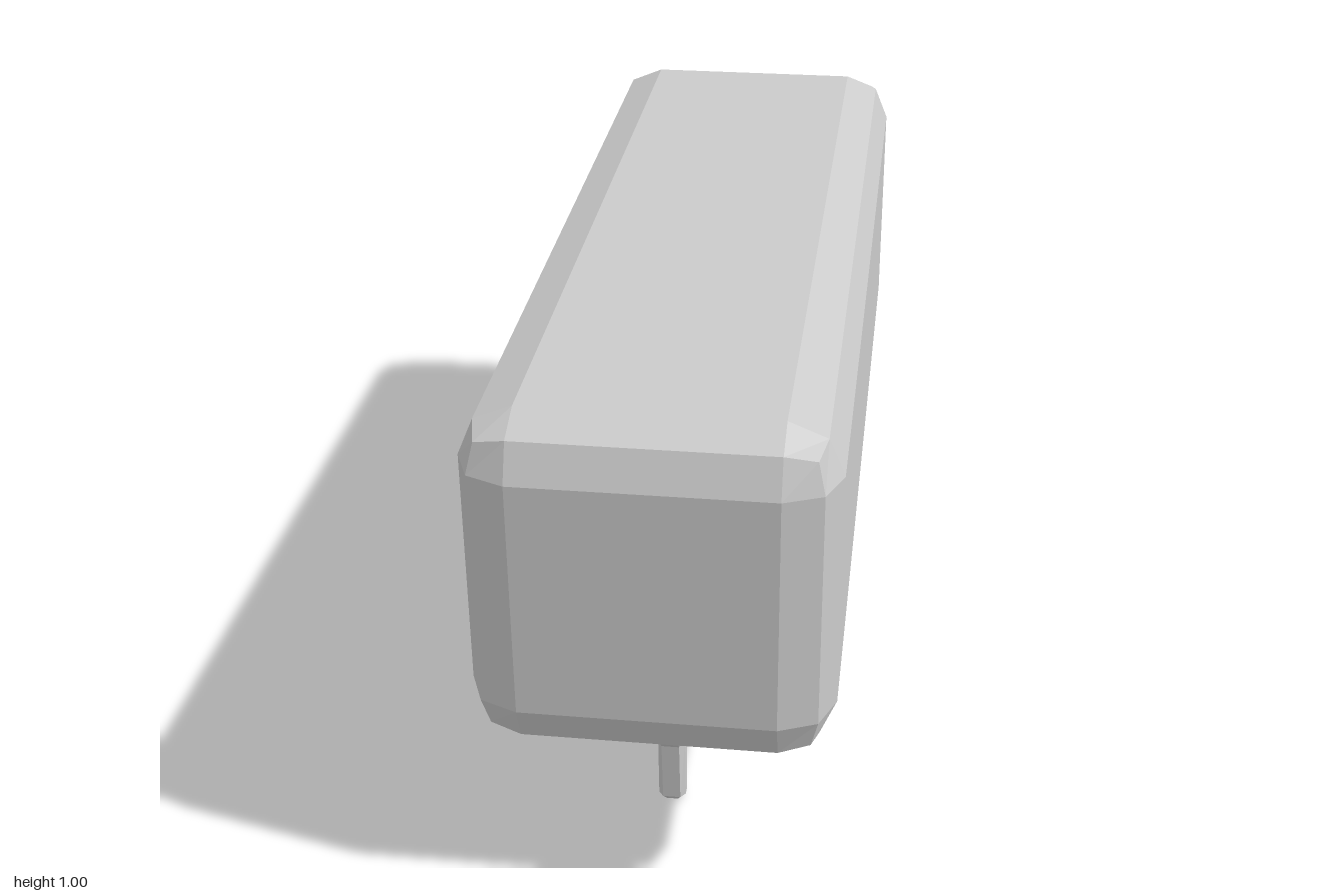
import * as THREE from 'three';

const material = new THREE.MeshStandardMaterial({ color: 0xcccccc, flatShading: true });

function addMesh(parent, geometry, name) {
  const flat = geometry.index ? geometry.toNonIndexed() : geometry;
  flat.computeVertexNormals();
  const mesh = new THREE.Mesh(flat, material);
  mesh.name = name;
  parent.add(mesh);
}

// Box whose edges and corners are rounded with two facets
function facetedBox(hx, hy, hz, r) {
  const geo = new THREE.BoxGeometry(2, 2, 2, 3, 3, 3);
  const pos = geo.attributes.position;
  const p = new THREE.Vector3();
  for (let i = 0; i < pos.count; i++) {
    p.fromBufferAttribute(pos, i);
    const core = new THREE.Vector3(
      Math.sign(p.x) * (hx - r), Math.sign(p.y) * (hy - r), Math.sign(p.z) * (hz - r));
    const out = new THREE.Vector3(...p.toArray().map((c) => (Math.abs(c) > 0.9 ? Math.sign(c) : 0)));
    core.addScaledVector(out.normalize(), r);
    pos.setXYZ(i, core.x, core.y, core.z);
  }
  return geo;
}

// Lofts chamfered sections; each is [zA, yA, zB, yB, half width in x]
function limb(sections) {
  const ring = [[1, 0.4], [0.4, 1], [-0.4, 1], [-1, 0.65], [-1, -0.65], [-0.4, -1], [0.4, -1], [1, -0.4]];
  ring[0][1] = ring[3][1] = 0.65;
  ring[4][1] = ring[7][1] = -0.65;
  const n = ring.length;
  const points = [];
  const index = [];
  sections.forEach(([zA, yA, zB, yB, hx], s) => {
    for (const [v, u] of ring) {
      const t = (v + 1) / 2;
      points.push(u * hx, yA + (yB - yA) * t, zA + (zB - zA) * t);
    }
    if (s === 0) return;
    for (let k = 0; k < n; k++) {
      const a = (s - 1) * n + k, b = (s - 1) * n + (k + 1) % n;
      index.push(a, b, b + n, a, b + n, a + n);
    }
  });
  // End caps
  const last = (sections.length - 1) * n;
  for (let k = 1; k < n - 1; k++) {
    index.push(0, k + 1, k, last, last + k, last + k + 1);
  }
  const geo = new THREE.BufferGeometry();
  geo.setAttribute('position', new THREE.Float32BufferAttribute(points, 3));
  geo.setIndex(index);
  return geo;
}

function createStem() {
  const stem = new THREE.Group();
  addMesh(stem, limb([
    [-0.014, 0, 0.014, 0, 0.017],
    [-0.021, 0.01, 0.021, 0.01, 0.027],
    [-0.033, 0.145, 0.033, 0.145, 0.027],
    [-0.002, 0.168, 0.002, 0.168, 0.025],
  ]), 'trunk');
  addMesh(stem, limb([
    [-0.033, 0.145, 0, 0.168, 0.027],
    [-0.152, 0.34, -0.122, 0.34, 0.022],
    [-0.19, 0.4, -0.16, 0.4, 0.02],
  ]), 'straightBranch');
  addMesh(stem, limb([
    [0, 0.168, 0.033, 0.145, 0.027],
    [0.119, 0.287, 0.138, 0.277, 0.024],
    [0.117, 0.4, 0.137, 0.4, 0.021],
  ]), 'bentBranch');
  return stem;
}

export function createModel() {
  const model = new THREE.Group();
  model.name = 'hedge';

  // Clipped foliage block
  const foliage = facetedBox(0.333, 0.333, 1, 0.1);
  foliage.translate(0, 0.667, 0);
  addMesh(model, foliage, 'foliage');

  // Row of forked stems, the middle one turned around
  [0.667, 0, -0.667].forEach((z, i) => {
    const stem = createStem();
    stem.name = `stem${i + 1}`;
    stem.position.z = z;
    if (i === 1) stem.rotation.y = Math.PI;
    model.add(stem);
  });
  return model;
}
